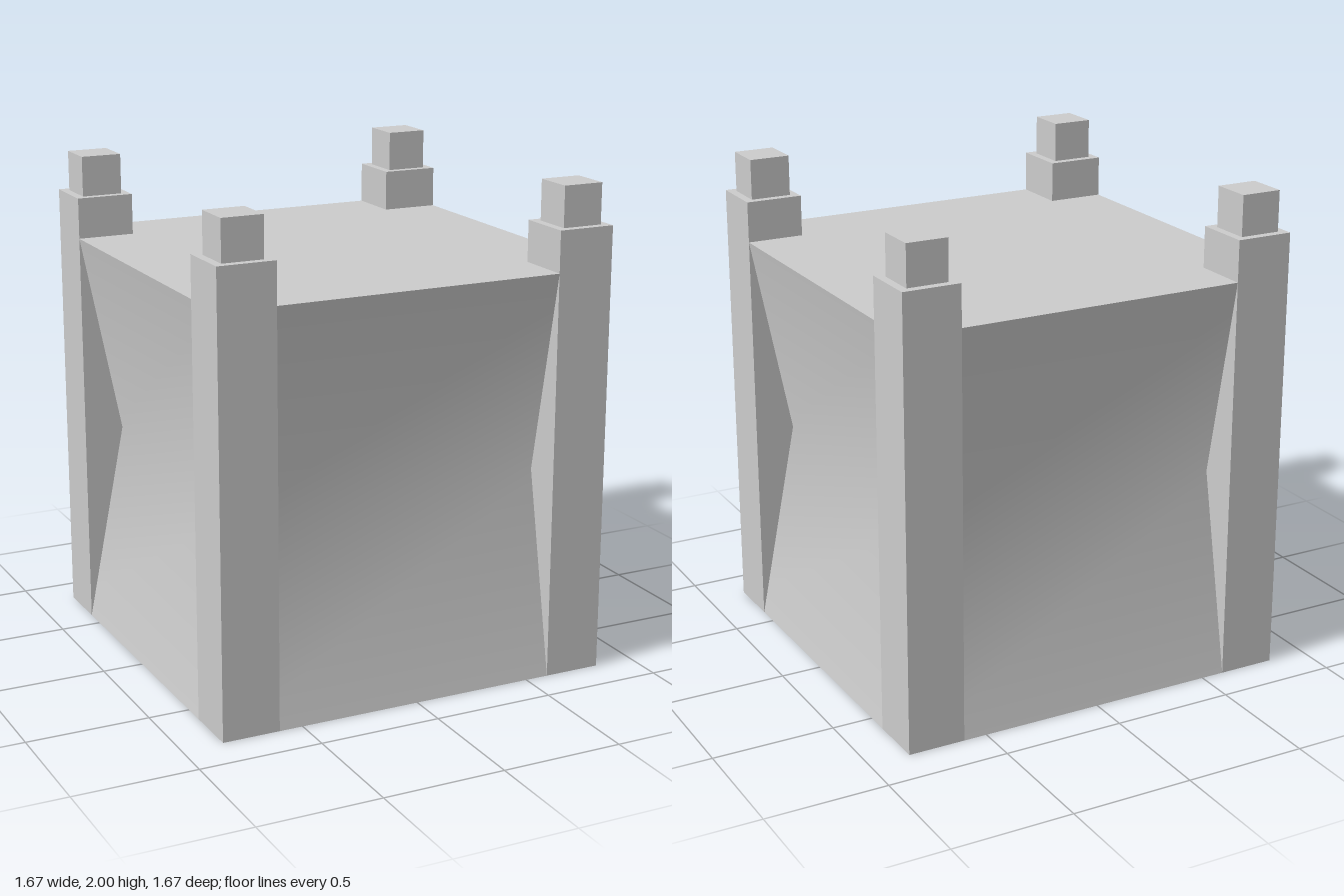
import * as THREE from 'three';

const HALF = 0.833;   // half width of the block
const WAIST = 0.667;  // half width at the pinched middle
const TOP = 1.667;    // height of the block
const POST = 0.236;   // post width
const POST_H = 1.835; // post height
const CAP = 0.168;    // finial width

export function createModel() {
  const model = new THREE.Group();
  const material = new THREE.MeshStandardMaterial({ color: 0xcccccc });

  const add = (parent, name, geometry, x = 0, y = 0, z = 0) => {
    const mesh = new THREE.Mesh(geometry, material);
    mesh.name = name;
    mesh.position.set(x, y, z);
    parent.add(mesh);
    return mesh;
  };

  // Block whose four walls pinch inward at mid height, shaded smoothly across the waist
  const body = new THREE.Group();
  body.name = 'body';
  const wall = new THREE.PlaneGeometry(HALF * 2, TOP, 1, 2);
  const p = wall.attributes.position;
  for (let i = 0; i < p.count; i++) {
    const r = Math.abs(p.getY(i)) < 0.01 ? WAIST : HALF;
    p.setX(i, Math.sign(p.getX(i)) * r);
    p.setZ(i, r);
  }
  wall.computeVertexNormals();
  ['frontWall', 'leftWall', 'backWall', 'rightWall'].forEach((name, i) => {
    add(body, name, wall, 0, TOP / 2, 0).rotation.y = i * Math.PI / 2;
  });

  // Flat lid and base
  const slab = new THREE.PlaneGeometry(HALF * 2, HALF * 2);
  add(body, 'topFace', slab, 0, TOP, 0).rotation.x = -Math.PI / 2;
  add(body, 'baseFace', slab).rotation.x = Math.PI / 2;
  model.add(body);

  // Square corner posts, each with a small cube finial
  const postGeometry = new THREE.BoxGeometry(POST, POST_H, POST);
  const capGeometry = new THREE.BoxGeometry(CAP, 2 - POST_H, CAP);
  const c = HALF - POST / 2;
  for (const sx of [-1, 1]) {
    for (const sz of [-1, 1]) {
      const corner = new THREE.Group();
      corner.name = (sz > 0 ? 'front' : 'back') + (sx > 0 ? 'Left' : 'Right') + 'Corner';
      corner.position.set(sx * c, 0, sz * c);
      add(corner, 'post', postGeometry, 0, POST_H / 2, 0);
      add(corner, 'finial', capGeometry, 0, (POST_H + 2) / 2, 0);
      model.add(corner);
    }
  }
  return model;
}
